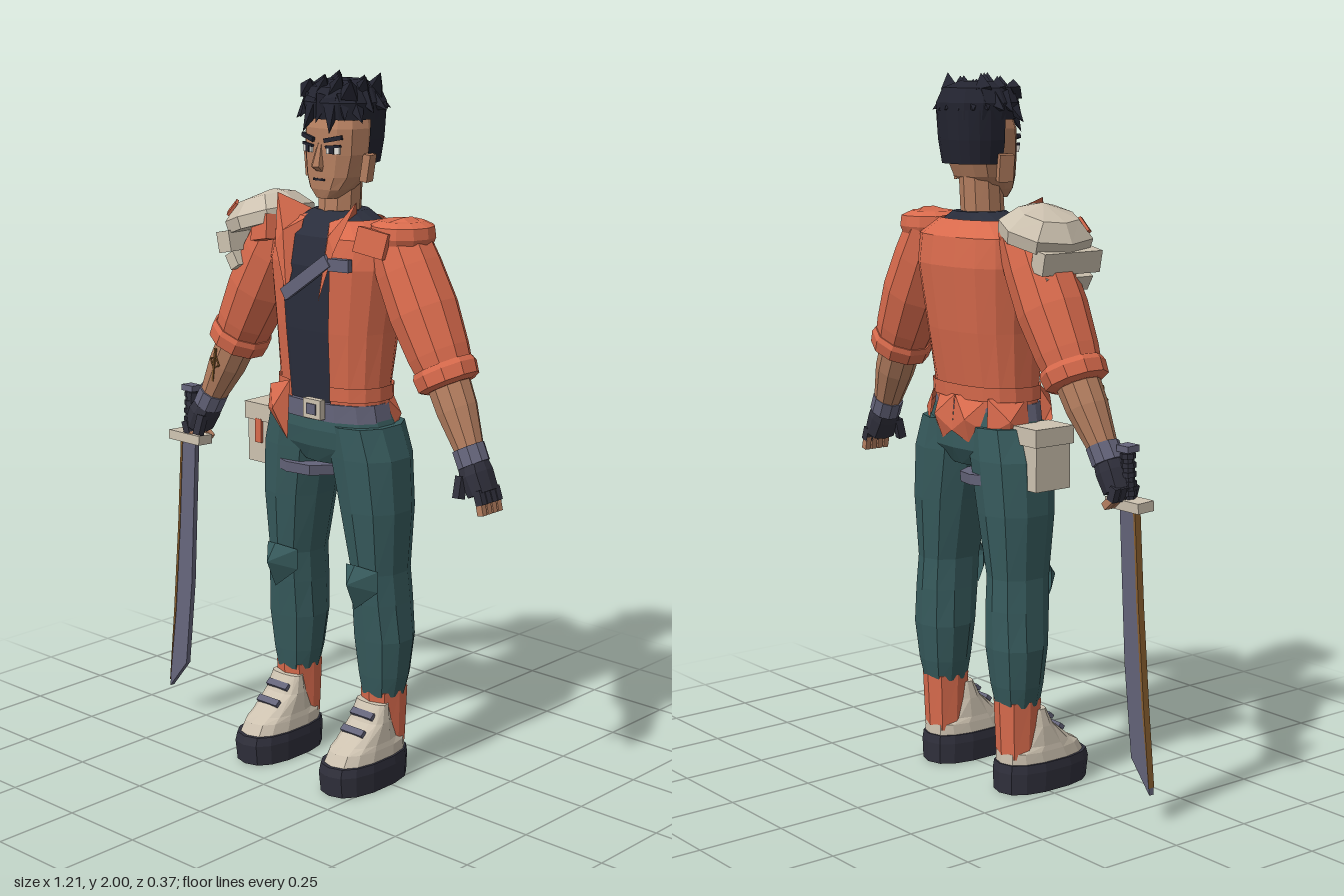
import * as THREE from 'three';

const mat = (name, color, side = THREE.DoubleSide) => {
  const m = new THREE.MeshStandardMaterial({ color, side });
  m.name = name;
  return m;
};

export function createModel() {
  const M = {
    orange: mat('jacket orange', 0xd96b4d), skin: mat('skin', 0xb57f60), hair: mat('hair black', 0x232430),
    teal: mat('trouser teal', 0x375b5d), beige: mat('armour beige', 0xcdc2b0), dark: mat('dark rubber', 0x30303c),
    tank: mat('vest navy', 0x2a2e3c), grey: mat('steel grey', 0x64647a), gold: mat('bronze', 0x8a6030), white: mat('eye white', 0xe8e6e0),
  };
  const model = new THREE.Group();
  model.name = 'swordsman';
  const body = new THREE.Group();
  body.name = 'body';
  body.position.x = 0.02;
  model.add(body);

  // Adds a faceted mesh
  function add(parent, name, geo, material, pos = [0, 0, 0], rot = [0, 0, 0]) {
    const g = geo.index ? geo.toNonIndexed() : geo;
    g.computeVertexNormals();
    const mesh = new THREE.Mesh(g, material);
    mesh.name = name;
    mesh.position.set(...pos);
    mesh.rotation.set(...rot);
    parent.add(mesh);
    return mesh;
  }
  const box = (...s) => new THREE.BoxGeometry(...s);

  // Skin over horizontal rings [y, halfWidth, zFront, zBack, centreX]; gap leaves the front open
  function loft(rings, n = 12, p = 2, gap = 0) {
    if (rings[0][0] > rings[rings.length - 1][0]) rings = [...rings].reverse();
    const pos = [], idx = [], bend = v => Math.sign(v) * Math.abs(v) ** (2 / p);
    for (const [y, rx, zf, zb, cx = 0] of rings) {
      for (let j = 0; j <= n; j++) {
        const a = gap + (2 * Math.PI - 2 * gap) * j / n;
        pos.push(cx + rx * bend(Math.sin(a)), y, (zf + zb) / 2 + (zf - zb) / 2 * bend(Math.cos(a)));
      }
    }
    const w = n + 1, last = (rings.length - 1) * w;
    for (let i = 0; i < last; i += w) for (let j = 0; j < n; j++) {
      const a = i + j;
      idx.push(a, a + 1, a + w + 1, a, a + w + 1, a + w);
    }
    if (!gap) for (let j = 1; j < n - 1; j++) idx.push(0, j + 1, j, last, last + j, last + j + 1);
    const g = new THREE.BufferGeometry();
    g.setAttribute('position', new THREE.Float32BufferAttribute(pos, 3));
    g.setIndex(idx);
    return g;
  }

  // Faceted plate: rim points (anticlockwise) around a raised centre
  function plate(centre, rim) {
    const pos = [];
    rim.forEach((r, i) => pos.push(...centre, ...r, ...rim[(i + 1) % rim.length]));
    const g = new THREE.BufferGeometry();
    g.setAttribute('position', new THREE.Float32BufferAttribute(pos, 3));
    return g;
  }

  // Pointed lock of hair
  function spike(parent, from, to, r) {
    const a = new THREE.Vector3(...from), d = new THREE.Vector3(...to).sub(a), len = d.length();
    const m = add(parent, 'hairSpike', new THREE.ConeGeometry(r, len, 4), M.hair);
    m.position.copy(a).addScaledVector(d, 0.5);
    m.quaternion.setFromUnitVectors(new THREE.Vector3(0, 1, 0), d.normalize());
  }

  // Torso, open jacket and trousers seat
  const torso = [[1.08, 0.175, 0.075, -0.135], [1.13, 0.175, 0.08, -0.135], [1.3, 0.188, 0.095, -0.165],
    [1.48, 0.212, 0.102, -0.187], [1.56, 0.205, 0.085, -0.178], [1.605, 0.13, 0.04, -0.14]];
  add(body, 'jacket', loft(torso, 15, 2.4, 0.36), M.orange);
  add(body, 'vest', loft([...torso.map(([y, r, f, b]) => [y, r - 0.012, f - 0.008, b + 0.012]), [1.625, 0.075, 0.015, -0.12]], 16, 2.4), M.tank);
  add(body, 'jacketHem', loft([[1.11, 0.183, 0.085, -0.142], [1.15, 0.183, 0.086, -0.145]], 15, 2.4, 0.36), M.orange);
  add(body, 'belt', loft([[1.05, 0.188, 0.085, -0.14], [1.1, 0.178, 0.085, -0.138]], 14, 2.3), M.grey);
  add(body, 'buckle', box(0.065, 0.055, 0.02), M.beige, [0.03, 1.085, 0.092]);
  add(body, 'buckleInset', box(0.035, 0.03, 0.006), M.grey, [0.03, 1.085, 0.103]);
  add(body, 'trouserSeat', loft([[0.92, 0.09, 0.05, -0.12], [0.97, 0.19, 0.075, -0.15], [1.02, 0.2, 0.083, -0.15], [1.08, 0.177, 0.08, -0.138]], 14, 2.4), M.teal);
  add(body, 'chestStrap', box(0.2, 0.036, 0.012), M.grey, [0.01, 1.45, 0.103], [0, 0, 0.6]);
  add(body, 'chestClip', box(0.065, 0.034, 0.02), M.grey, [0.123, 1.495, 0.09], [0, 0.2, 0]);

  // Jacket tails
  for (const a of [2.15, 2.85, 3.5, 4.25]) {
    const g = plate([0, 1.06, 0.04], [[-0.055, 1.12, 0], [-0.06, 1.02, 0.01], [0, 0.99, 0.015], [0.06, 1.02, 0.01], [0.055, 1.12, 0]]);
    add(body, 'jacketTail', g, M.orange, [0.17 * Math.sin(a), 0, -0.03 + 0.105 * Math.cos(a)], [0, a, 0]);
  }
  add(body, 'frontTail', plate([-0.1, 1.07, 0.125], [[-0.07, 1.15, 0.085], [-0.17, 1.12, 0.06], [-0.17, 1.05, 0.07], [-0.07, 0.98, 0.095]]), M.orange);

  for (const s of [-1, 1]) {
    const side = s > 0 ? 'left' : 'right';

    // Collar
    add(body, side + 'Collar', plate([s * 0.085, 1.57, 0.095], [[s * 0.148, 1.665, 0.05], [s * 0.11, 1.53, 0.1],
      [s * 0.06, 1.39, 0.108], [s * 0.048, 1.6, 0.05], [s * 0.085, 1.62, -0.02]]), M.orange);

    // Legs
    const leg = [[0.25, 0.058, 0.01, -0.115, 0.168], [0.31, 0.072, 0.018, -0.127, 0.168], [0.42, 0.086, 0.03, -0.14, 0.167],
      [0.53, 0.08, 0.04, -0.14, 0.163], [0.62, 0.076, 0.045, -0.135, 0.16], [0.8, 0.1, 0.065, -0.15, 0.148],
      [0.95, 0.112, 0.076, -0.155, 0.128], [1.04, 0.1, 0.08, -0.148, 0.11]];
    add(body, side + 'Leg', loft(leg.map(([y, r, f, b, x]) => [y, r, f, b, s * x]), 10, 2.2), M.teal);
    add(body, side + 'KneePad', plate([0, 0.6, 0.095], [[0, 0.65, 0.06], [-0.06, 0.635, 0.03], [-0.06, 0.575, 0.03],
      [0, 0.52, 0.06], [0.06, 0.575, 0.03], [0.06, 0.635, 0.03]]), M.teal, [s * 0.155, 0, 0]);

    // Boots
    const boot = new THREE.Group();
    boot.name = side + 'Boot';
    boot.position.x = s * 0.168;
    body.add(boot);
    add(boot, 'sole', loft([[0, 0.08, 0.18, -0.118], [0.06, 0.083, 0.187, -0.12], [0.085, 0.08, 0.18, -0.116]], 14, 2.5), M.dark);
    add(boot, 'bootUpper', loft([[0.08, 0.074, 0.172, -0.112], [0.115, 0.07, 0.15, -0.11], [0.13, 0.067, 0.12, -0.075],
      [0.185, 0.062, 0.05, -0.04], [0.235, 0.054, 0.022, -0.03]], 14, 2.5), M.beige);
    add(boot, 'sock', loft([[0.1, 0.055, 0, -0.11], [0.265, 0.06, 0.012, -0.118]], 8, 2.5), M.orange);
    for (const [y, z] of [[0.165, 0.09], [0.205, 0.05]]) add(boot, 'lace', box(0.08, 0.012, 0.02), M.grey, [0, y, z - 0.012], [0.7, 0, 0]);

    // Arms hang along a slanted axis
    const arm = new THREE.Group();
    arm.name = side + 'Arm';
    arm.position.set(s * 0.205, 1.57, 0);
    arm.rotation.z = s * 0.485;
    body.add(arm);
    const limb = rings => loft(rings.map(([y, r, z]) => [y, r, z + r, z - r]), 10);
    add(arm, 'sleeve', limb([[0.03, 0.06, -0.05], [0, 0.085, -0.05], [-0.1, 0.094, -0.048], [-0.22, 0.098, -0.046],
      [-0.34, 0.088, -0.043], [-0.39, 0.08, -0.042]]), M.orange);
    add(arm, 'sleeveCuff', limb([[-0.375, 0.086, -0.042], [-0.39, 0.092, -0.042], [-0.425, 0.088, -0.04], [-0.435, 0.07, -0.04]]), M.orange);
    add(arm, 'forearm', limb([[-0.4, 0.062, -0.04], [-0.5, 0.058, -0.034], [-0.64, 0.037, -0.022]]), M.skin);
    add(arm, 'wristBand', limb([[-0.605, 0.046, -0.023], [-0.655, 0.046, -0.02]]), M.grey);
    add(arm, 'palm', loft([[-0.64, 0.035, 0.015, -0.055], [-0.68, 0.04, 0.03, -0.06], [-0.735, 0.034, 0.028, -0.058]], 8, 3), M.dark);
    const curl = s < 0 ? 0.8 : 0.15;
    for (let i = 0; i < 4; i++) {
      const z = 0.018 - i * 0.022;
      add(arm, 'gloveFinger', box(0.024, 0.04, 0.019), M.dark, [s * 0.012, -0.745, z], [0, 0, -s * curl]);
      add(arm, 'fingerTip', box(0.02, 0.04, 0.017), M.skin, [s * (0.008 - curl * 0.03), -0.775 + curl * 0.02, z], [0, 0, -s * curl * 1.7]);
    }
    add(arm, 'thumb', box(0.024, 0.06, 0.024), M.dark, [-s * 0.035, -0.7, 0.025], [-0.3, 0, -s * 0.4]);

    // Shoulder caps and front flaps
    add(body, side + 'ShoulderCap', loft([[1.54, 0.08, 0.03, -0.13], [1.57, 0.092, 0.042, -0.142], [1.6, 0.088, 0.038, -0.138],
      [1.613, 0.06, 0.01, -0.11]], 12), M.orange, [s * 0.225, 0, 0]);
    add(body, side + 'ShoulderFlap', box(0.09, 0.07, 0.03), M.orange, [s * 0.205, 1.56, 0.05], [-0.15, s * 0.3, -s * 0.15]);

    // Ears, eyes and brows
    add(body, side + 'Ear', box(0.022, 0.075, 0.042), M.skin, [0.005 + s * 0.102, 1.745, -0.04], [0, s * 0.3, -s * 0.15]);
    add(body, side + 'Eye', box(0.04, 0.018, 0.008), M.white, [0.005 + s * 0.046, 1.793, 0.038], [0, s * 0.25, 0]);
    add(body, side + 'Pupil', box(0.015, 0.018, 0.004), M.hair, [0.005 + s * 0.044, 1.793, 0.043], [0, s * 0.25, 0]);
    add(body, side + 'Lash', box(0.046, 0.007, 0.009), M.hair, [0.005 + s * 0.046, 1.804, 0.039], [0, s * 0.25, s * 0.1]);
    add(body, side + 'Brow', box(0.055, 0.012, 0.009), M.hair, [0.005 + s * 0.046, 1.824, 0.039], [0, s * 0.25, s * 0.2]);

    // Tattoo on one forearm
    if (s < 0) {
      add(arm, 'tattooDiamond', new THREE.TorusGeometry(0.02, 0.003, 4, 4), M.gold, [0, -0.49, 0.026], [0.2, 0, 0]);
      add(arm, 'tattooStroke', box(0.006, 0.11, 0.006), M.gold, [0, -0.5, 0.024], [0.15, 0, 0.2]);
    }
  }

  // Neck and head
  add(body, 'neck', loft([[1.57, 0.07, 0.025, -0.115], [1.62, 0.06, 0.018, -0.105], [1.72, 0.06, 0.01, -0.11]], 10), M.skin);
  add(body, 'head', loft([[1.66, 0.032, 0.038, -0.03], [1.685, 0.06, 0.045, -0.06], [1.72, 0.083, 0.046, -0.11], [1.78, 0.095, 0.046, -0.135],
    [1.85, 0.097, 0.044, -0.14], [1.92, 0.08, 0.02, -0.13]], 12, 2.6), M.skin, [0.005, 0, 0]);
  add(body, 'nose', loft([[1.735, 0.013, 0.05, 0.03], [1.748, 0.017, 0.073, 0.03], [1.81, 0.008, 0.048, 0.03]], 6), M.skin, [0.005, 0, 0]);
  add(body, 'mouth', box(0.04, 0.006, 0.008), M.hair, [0.005, 1.712, 0.043]);

  // Hair: cropped back, crown and spikes
  const hair = new THREE.Group();
  hair.name = 'hair';
  hair.position.x = 0.008;
  body.add(hair);
  add(hair, 'croppedBack', loft([[1.755, 0.094, 0.04, -0.145], [1.82, 0.104, 0.05, -0.155], [1.9, 0.108, 0.05, -0.16]], 10, 2.5, 1.5), M.hair);
  add(hair, 'crown', loft([[1.875, 0.108, 0.045, -0.16], [1.92, 0.115, 0.055, -0.162], [1.96, 0.095, 0.035, -0.145], [1.978, 0.05, 0, -0.1]], 12, 2.3), M.hair);
  for (let i = 0; i < 18; i++) {
    const a = i / 18 * Math.PI * 2, c = Math.cos(a), d = Math.sin(a), k = i % 2;
    const front = Math.max(c, 0);
    spike(hair, [0.085 * d, 1.935 - 0.01 * k, -0.05 + 0.08 * c], [(0.13 + 0.012 * k) * d, 1.9 - front * (0.035 + 0.03 * k), -0.05 + (0.112 + 0.006 * k) * c], 0.03);
  }
  for (let i = 0; i < 12; i++) {
    const x = -0.075 + 0.05 * (i % 4), z = 0.01 - 0.05 * Math.floor(i / 4);
    spike(hair, [x, 1.945, z], [x + 0.03 + (i % 3) * 0.008, 1.982 + (i % 3) * 0.009, z + 0.025], 0.032);
  }

  // Armoured shoulder with stacked plates
  const pad = new THREE.Group();
  pad.name = 'shoulderArmour';
  pad.position.set(-0.255, 1.575, -0.03);
  pad.rotation.z = 0.3;
  body.add(pad);
  add(pad, 'padDome', loft([[-0.02, 0.112, 0.125, -0.125], [0.015, 0.115, 0.128, -0.13], [0.06, 0.075, 0.08, -0.085], [0.075, 0.01, 0.01, -0.01, 0.03]], 8, 2.4), M.beige);
  add(pad, 'padMark', box(0.045, 0.008, 0.03), M.orange, [-0.07, 0.05, 0.07], [0.5, 0.5, 0.4]);
  add(pad, 'middlePlate', box(0.05, 0.06, 0.2), M.beige, [-0.095, -0.04, 0.01], [0, 0, -0.1]);
  add(pad, 'lowerPlate', box(0.035, 0.045, 0.16), M.beige, [-0.1, -0.095, 0.01], [0, 0, 0.25]);

  // Hip pouch and thigh strap
  add(body, 'pouch', box(0.095, 0.16, 0.12), M.beige, [-0.228, 0.955, -0.015]);
  add(body, 'pouchLid', box(0.11, 0.05, 0.135), M.beige, [-0.228, 1.025, -0.015]);
  add(body, 'pouchTab', box(0.024, 0.07, 0.008), M.orange, [-0.228, 0.97, 0.05]);
  add(body, 'thighStrap', loft([[0.88, 0.115, 0.078, -0.16], [0.91, 0.117, 0.08, -0.162]], 10, 2.2), M.grey, [-0.137, 0, 0], [0, 0, -0.05]);

  // Sword
  const sword = new THREE.Group();
  sword.name = 'sword';
  sword.position.set(-0.545, 0.885, 0.005);
  sword.rotation.x = -0.05;
  model.add(sword);
  const outline = pts => new THREE.Shape(pts.map(p => new THREE.Vector2(...p)));
  const extrude = (pts, depth) => new THREE.ExtrudeGeometry(outline(pts), { depth, bevelEnabled: false }).translate(0, 0, -depth / 2);
  add(sword, 'blade', extrude([[-0.03, 0], [-0.034, -0.28], [-0.044, -0.55], [-0.058, -0.8], [0.012, -0.71], [0.028, -0.45], [0.03, 0]], 0.016), M.grey);
  add(sword, 'bladeEdge', extrude([[-0.032, -0.02], [-0.036, -0.28], [-0.046, -0.55], [-0.058, -0.78], [-0.038, -0.55], [-0.028, -0.28], [-0.025, -0.02]], 0.02), M.gold);
  add(sword, 'guard', box(0.13, 0.028, 0.055), M.beige);
  add(sword, 'grip', new THREE.CylinderGeometry(0.017, 0.017, 0.14, 8), M.dark, [0, 0.08, 0]);
  for (let i = 0; i < 5; i++) add(sword, 'gripWrap', new THREE.CylinderGeometry(0.021, 0.021, 0.014, 8), M.dark, [0, 0.03 + i * 0.025, 0]);
  add(sword, 'pommel', box(0.046, 0.018, 0.04), M.grey, [0, 0.15, 0]);

  return model;
}
